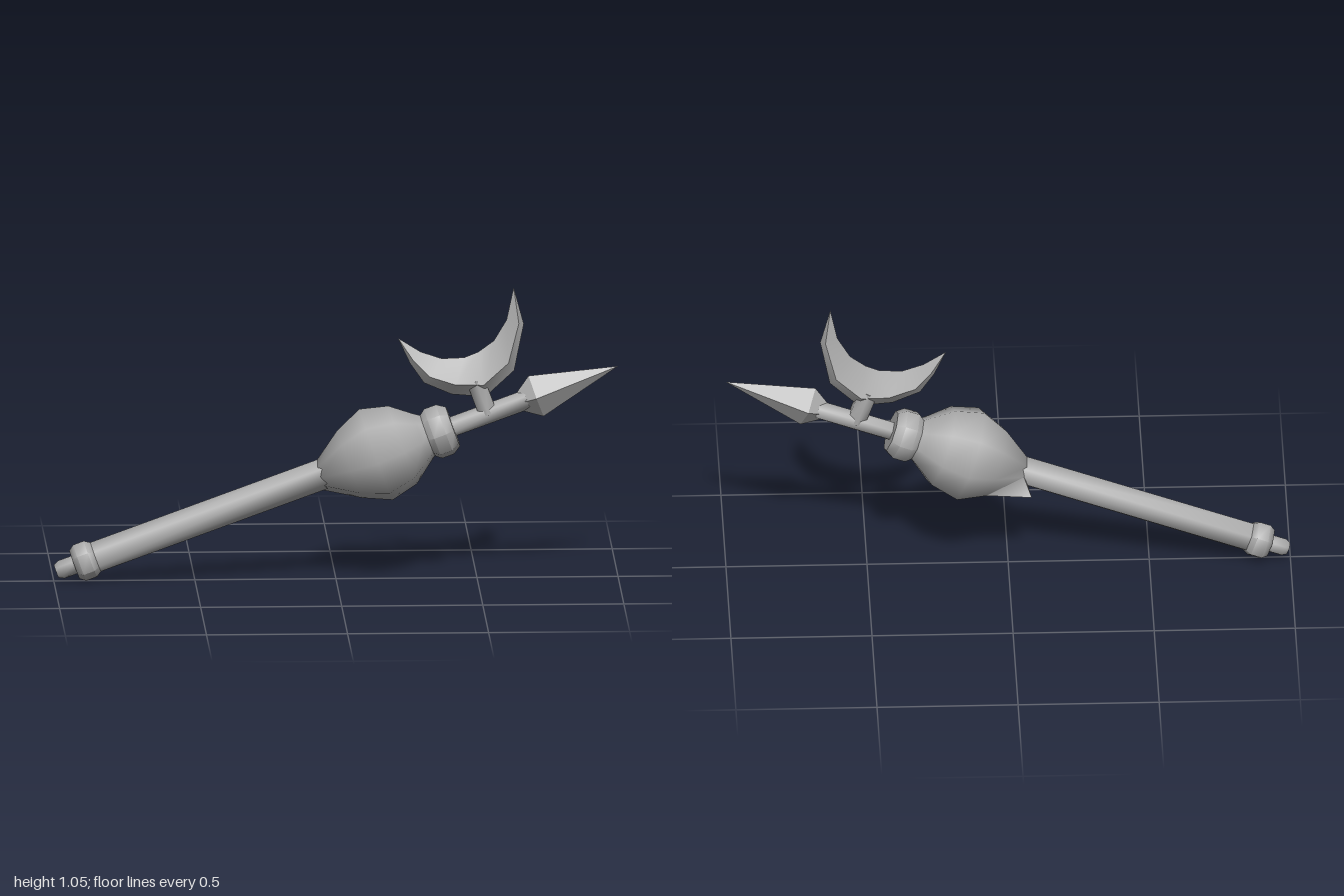
import * as THREE from 'three';
import { toCreasedNormals } from 'three/addons/utils/BufferGeometryUtils.js';

const metal = new THREE.MeshStandardMaterial({ color: 0xaaaaaa });
metal.name = 'grey metal';

function part(name, geometry, crease = 0.7) {
  const mesh = new THREE.Mesh(toCreasedNormals(geometry, crease), metal);
  mesh.name = name;
  return mesh;
}

// Turned profile given as [radius, distance along the shaft]
function turned(points, sides, phase = 0) {
  return new THREE.LatheGeometry(points.map(p => new THREE.Vector2(...p)), sides, phase);
}

// Bulb with one corner of its rear rim pulled out into a thorn
function bulbGeometry() {
  const profile = [[0, 0.99], [0.05, 0.99], [0.13, 1.1], [0.175, 1.2], [0.15, 1.3], [0.095, 1.37], [0.06, 1.42]];
  const geometry = turned(profile, 8);
  geometry.attributes.position.setXYZ(3 * profile.length + 1, 0.051, 0.944, -0.085);
  return geometry;
}

// Crescent blade: diamond sections [inner x, y, outer x, y, half thickness]
function crescentGeometry() {
  const sections = [
    [0.22, 0.862, 0.22, 0.862, 0],
    [0.3, 0.812, 0.262, 0.772, 0.017],
    [0.375, 0.787, 0.312, 0.7, 0.028],
    [0.455, 0.79, 0.41, 0.658, 0.036],
    [0.505, 0.81, 0.53, 0.648, 0.037],
    [0.56, 0.85, 0.632, 0.742, 0.033],
    [0.605, 0.925, 0.666, 0.91, 0.02],
    [0.63, 1.042, 0.63, 1.042, 0],
  ];
  const position = [], index = [];
  for (const [ix, iy, ox, oy, t] of sections) {
    const rx = ix + (ox - ix) * 0.7, ry = iy + (oy - iy) * 0.7;
    position.push(ix, iy, 0, rx, ry, t, ox, oy, 0, rx, ry, -t);
  }
  for (let s = 0; s < sections.length - 1; s++) {
    for (let k = 0; k < 4; k++) {
      const a = s * 4 + k, b = s * 4 + (k + 1) % 4;
      index.push(a, b, a + 4, b, b + 4, a + 4);
    }
  }
  const geometry = new THREE.BufferGeometry();
  geometry.setAttribute('position', new THREE.Float32BufferAttribute(position, 3));
  geometry.setIndex(index);
  return geometry;
}

export function createModel() {
  const model = new THREE.Group();
  model.name = 'sceptre';

  // Everything turned on the shaft is built upright, then tilted
  const staff = new THREE.Group();
  staff.name = 'staff';
  staff.position.set(-0.985, 0.032, 0);
  staff.rotation.z = -THREE.MathUtils.degToRad(70);
  model.add(staff);

  const hex = Math.PI / 6;
  staff.add(
    part('endKnob', turned([[0, -0.007], [0.024, -0.007], [0.034, 0.012], [0.034, 0.08]], 6, hex), 1.1),
    part('endCollar', turned([[0, 0.062], [0.054, 0.062], [0.069, 0.082], [0.069, 0.122], [0.054, 0.145], [0, 0.145]], 6, hex), 1.1),
    part('shaft', turned([[0.056, 0.12], [0.056, 1.03]], 6, hex), 1.1),
    part('bulb', bulbGeometry(), 1.2),
    part('neckCollar', turned([[0, 1.39], [0.075, 1.39], [0.095, 1.415], [0.095, 1.46], [0.075, 1.49], [0, 1.49]], 8), 0.9),
    part('rod', turned([[0.036, 1.46], [0.036, 1.77]], 6, hex), 1.1),
  );

  // Four-sided spear point, flattened from side to side
  const point = turned([[0, 1.735], [0.03, 1.735], [0.078, 1.803], [0, 2.113]], 4);
  point.scale(1, 1, 0.65);
  staff.add(part('spearPoint', point, 0.3));

  // Short stem carrying the crescent
  const stem = new THREE.CylinderGeometry(0.037, 0.037, 0.13, 6);
  stem.rotateZ(Math.PI / 2);
  stem.translate(-0.065, 1.622, 0);
  staff.add(part('crescentStem', stem, 1.1));

  model.add(part('crescent', crescentGeometry(), 0.6));
  return model;
}
